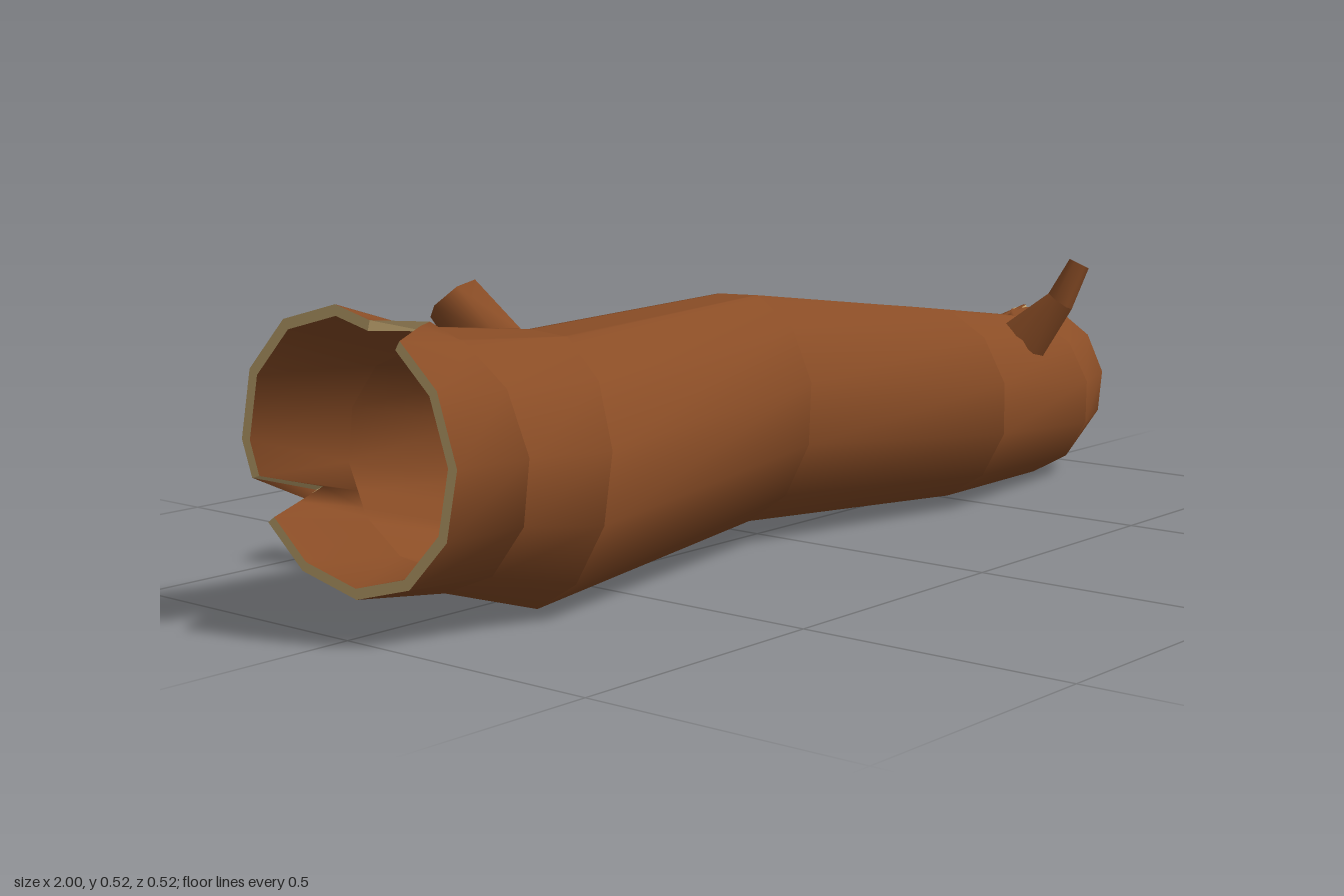
import * as THREE from 'three';

const bark = new THREE.MeshStandardMaterial({ color: 0x8a4d26 });
bark.name = 'bark brown';
const wood = new THREE.MeshStandardMaterial({ color: 0xd0b278 });
wood.name = 'cut wood';

// Cross-sections of the trunk: centre, half sizes, slant of the ring in x, twist, wall, end notches [u, half width, depth]
const SIDES = 12;
const sections = [
  { x: -0.982, y: 0.293, z: -0.013, ry: 0.232, rz: 0.228, tz: 0.066, ty: -0.06, twist: 0, wall: 0.018,
    notches: [[2.1, 0.28, 0.09], [6.85, 0.32, 0.12]] },
  { x: -0.835, y: 0.265, z: 0.013, ry: 0.212, rz: 0.224, tz: 0, ty: 0, twist: 8, wall: 0.035 },
  { x: -0.62, y: 0.224, z: 0.031, ry: 0.226, rz: 0.225, tz: -0.25, ty: 0.18, twist: 15, wall: 0.035 },
  { x: 0, y: 0.238, z: -0.056, ry: 0.213, rz: 0.209, tz: -0.15, ty: 0.12, twist: 18, wall: 0.035 },
  { x: 0.445, y: 0.205, z: 0.07, ry: 0.19, rz: 0.175, tz: 0.08, ty: 0, twist: 15, wall: 0.035 },
  { x: 0.83, y: 0.17, z: 0.029, ry: 0.169, rz: 0.151, tz: 0.22, ty: -0.06, twist: 12, wall: 0.03 },
  { x: 0.963, y: 0.18, z: -0.018, ry: 0.162, rz: 0.148, tz: 0.26, ty: -0.02, twist: 9, wall: 0.016,
    notches: [[2.8, 0.13, -0.075]] },
];

// Shared columns round the trunk: the corners plus the edges and tips of the notches
const columns = [...Array(SIDES).keys()];
for (const s of sections)
  for (const [u, d] of s.notches || []) columns.push(u - d, u, u + d);
columns.sort((a, b) => a - b);

function trunkRing(s, inset) {
  const corner = (i) => {
    const a = ((i * 360) / SIDES + s.twist) * Math.PI / 180;
    const dy = (s.ry - inset) * Math.sin(a), dz = (s.rz - inset) * Math.cos(a);
    return new THREE.Vector3(s.x + s.tz * dz + s.ty * dy, s.y + dy, s.z + dz);
  };
  return columns.map((u) => {
    const i = Math.floor(u);
    const p = corner(i).lerp(corner(i + 1), u - i);
    for (const [n, d, depth] of s.notches || []) p.x += depth * Math.max(0, 1 - Math.abs(u - n) / d);
    return p;
  });
}

// Closed band of faces between two rings, smooth round the ring unless flat
function band(a, b, material, name, flat = false) {
  const n = a.length, index = [];
  for (let i = 0; i < n; i++) {
    const j = (i + 1) % n;
    index.push(i, n + i, n + j, i, n + j, j);
  }
  let geo = new THREE.BufferGeometry().setFromPoints([...a, ...b]);
  geo.setIndex(index);
  if (flat) geo = geo.toNonIndexed();
  geo.computeVertexNormals();
  const mesh = new THREE.Mesh(geo, material);
  mesh.name = name;
  return mesh;
}

// Hollow six-sided branch stub through points [x, y, z, radius]
function branch(name, path, bore, depth) {
  const group = new THREE.Group();
  group.name = name;
  const pts = path.map((p) => new THREE.Vector3(p[0], p[1], p[2]));
  const last = pts.length - 1;
  const ring = (c, axis, r) => {
    const u = new THREE.Vector3(1, 0, 0).addScaledVector(axis, -axis.x).normalize();
    const v = new THREE.Vector3().crossVectors(u, axis);
    return [...Array(6).keys()].map((i) => {
      const a = (i * Math.PI) / 3;
      return c.clone().addScaledVector(u, r * Math.cos(a)).addScaledVector(v, r * Math.sin(a));
    });
  };
  const axes = pts.map((p, i) =>
    new THREE.Vector3().subVectors(pts[Math.min(i + 1, last)], pts[Math.max(i - 1, 0)]).normalize());
  const rings = pts.map((p, i) => ring(p, axes[i], path[i][3]));
  for (let i = 0; i < last; i++) group.add(band(rings[i], rings[i + 1], bark, 'branchBark'));

  // Cut rim, bore and its floor
  const mouth = ring(pts[last], axes[last], path[last][3] * bore);
  const floorCentre = pts[last].clone().addScaledVector(axes[last], -depth);
  const floor = ring(floorCentre, axes[last], path[last][3] * bore);
  group.add(band(rings[last], mouth, wood, 'branchRim', true));
  group.add(band(mouth, floor, bark, 'branchBore'));
  group.add(band(floor, floor.map(() => floorCentre), bark, 'branchFloor', true));
  return group;
}

export function createModel() {
  const model = new THREE.Group();
  model.name = 'hollowLog';

  // Bark outside and hollow inside
  const outer = sections.map((s) => trunkRing(s, 0));
  const inner = sections.map((s) => trunkRing(s, s.wall));
  const end = sections.length - 1;
  for (let i = 0; i < end; i++) {
    model.add(band(outer[i], outer[i + 1], bark, 'trunkBark'));
    model.add(band(inner[i + 1], inner[i], bark, 'trunkHollow'));
  }

  // Split ends
  model.add(band(inner[0], outer[0], wood, 'rightEndRim', true));
  model.add(band(outer[end], inner[end], wood, 'leftEndRim', true));

  // Broken branches
  model.add(branch('backBranch', [[-0.54, 0.385, -0.125, 0.06], [-0.565, 0.48, -0.207, 0.05]], 0.62, 0.04));
  model.add(branch('frontBranch',
    [[0.662, 0.31, 0.15, 0.05], [0.69, 0.39, 0.215, 0.028], [0.715, 0.465, 0.242, 0.021]], 0.55, 0.02));
  return model;
}
